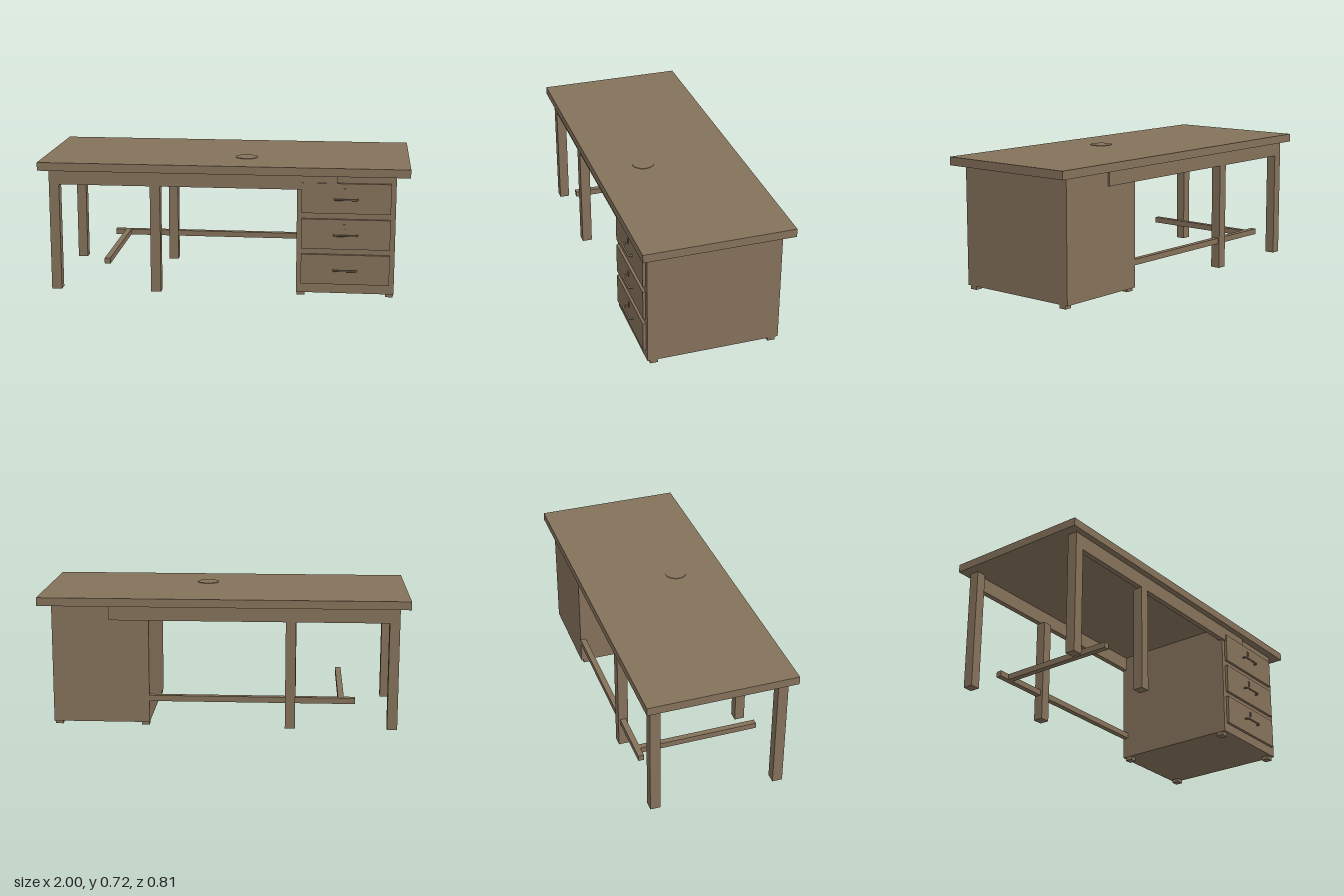
import * as THREE from 'three';

export function createModel() {
  const wood = new THREE.MeshStandardMaterial({ color: 0x84715a });
  wood.name = 'brown wood';
  const desk = new THREE.Group();
  desk.name = 'desk';

  const add = (name, geometry, parent = desk) => {
    const mesh = new THREE.Mesh(geometry, wood);
    mesh.name = name;
    parent.add(mesh);
    return mesh;
  };
  // Box given by its extents along each axis
  const box = (name, [x0, x1], [y0, y1], [z0, z1], parent) => {
    const mesh = add(name, new THREE.BoxGeometry(x1 - x0, y1 - y0, z1 - z0), parent);
    mesh.position.set((x0 + x1) / 2, (y0 + y1) / 2, (z0 + z1) / 2);
    return mesh;
  };
  // Extents mirrored to the front (1) or back (-1)
  const side = (s, a, b) => (s > 0 ? [a, b] : [-b, -a]);

  // Worktop with cable cover
  box('worktop', [-1, 1], [0.67, 0.715], [-0.403, 0.403]);
  const cover = add('cableCover', new THREE.CylinderGeometry(0.06, 0.06, 0.006, 40));
  cover.position.set(0.112, 0.715, 0.13);

  // Legs and aprons, front and back
  for (const s of [1, -1]) {
    const end = s > 0 ? 'front' : 'back';
    box(end + 'EndLeg', [-0.945, -0.89], [0, 0.67], side(s, 0.315, 0.37));
    box(end + 'MiddleLeg', [-0.392, -0.337], [0, 0.59], side(s, 0.315, 0.37));
    box(end + 'Apron', [-0.89, 0.615], [0.59, 0.67], side(s, 0.34, 0.37));
  }

  // Foot rail
  box('longRail', [-0.715, 0.41], [0.14, 0.172], [-0.36, -0.328]);
  box('crossRail', [-0.655, -0.623], [0.14, 0.172], [-0.328, 0.33]);

  // Drawer cabinet on short feet
  const cabinet = new THREE.Group();
  cabinet.name = 'drawerCabinet';
  desk.add(cabinet);
  box('cabinetBody', [0.402, 0.928], [0.02, 0.67], [-0.36, 0.36], cabinet);
  for (const x of [0.405, 0.883]) {
    for (const s of [1, -1]) {
      box('cabinetFoot', [x, x + 0.042], [0, 0.02], side(s, 0.303, 0.345), cabinet);
    }
  }

  // Bent rod handle
  const path = new THREE.CurvePath();
  const p = [[0.603, 0.37], [0.603, 0.388], [0.61, 0.395], [0.718, 0.395], [0.725, 0.388], [0.725, 0.37]]
    .map(([x, z]) => new THREE.Vector3(x, 0, z));
  for (let i = 0; i < p.length - 1; i++) path.add(new THREE.LineCurve3(p[i], p[i + 1]));
  const handleGeometry = new THREE.TubeGeometry(path, 60, 0.005, 10);

  // Three drawers with lock and handle
  for (const y of [0.073, 0.268, 0.464]) {
    const drawer = new THREE.Group();
    drawer.name = 'drawer';
    drawer.position.y = y;
    cabinet.add(drawer);
    box('drawerFront', [0.427, 0.902], [0, 0.164], [0.35, 0.375], drawer);
    box('lock', [0.65, 0.662], [0.11, 0.138], [0.37, 0.38], drawer);
    add('handle', handleGeometry, drawer).position.y = 0.08;
  }
  return desk;
}
